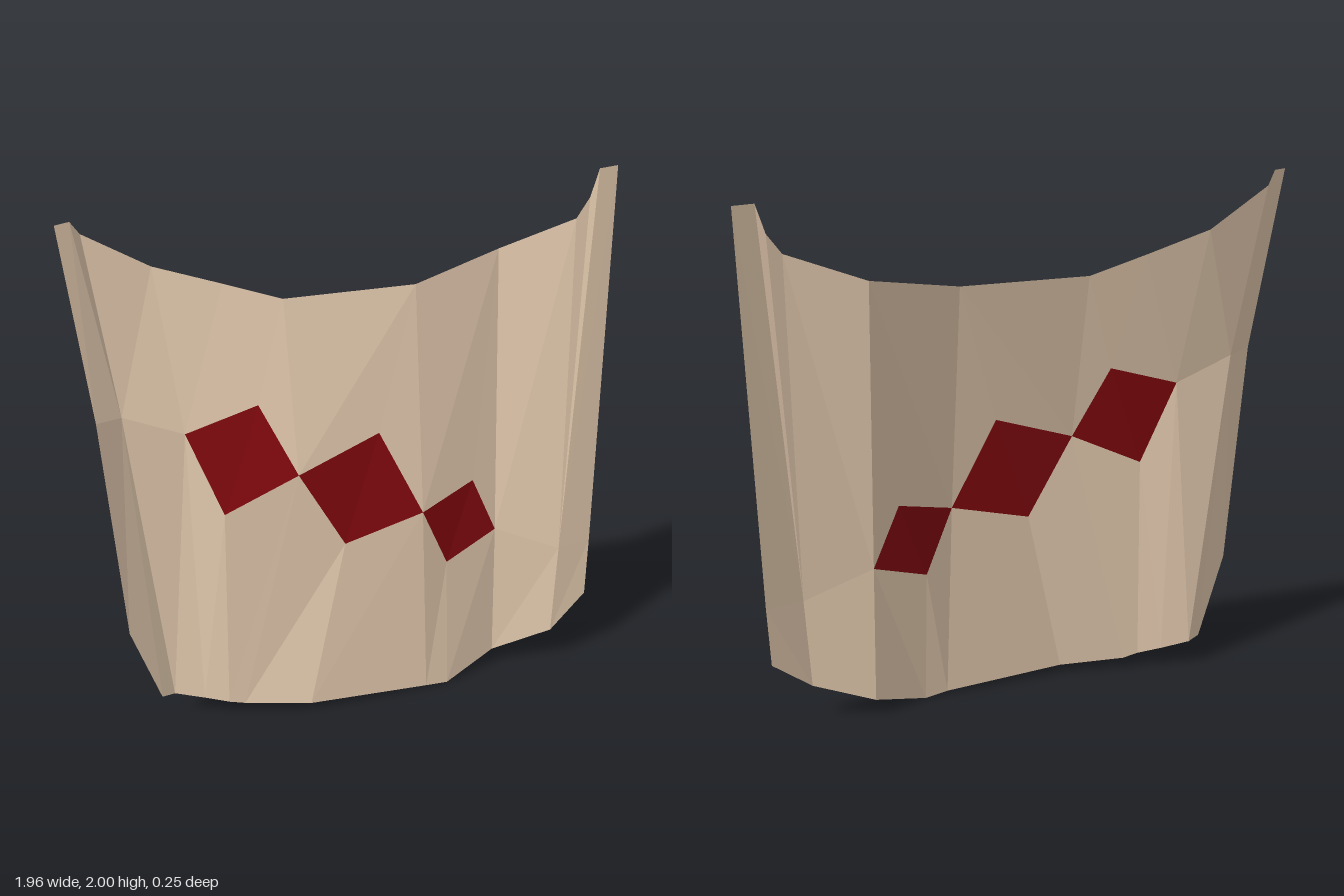
import * as THREE from 'three';

// Upright creases from -x to +x: [top edge, upper middle, lower middle, bottom edge].
// Where a crease has no diamond peak, the two middle points coincide.
function crease(top, upper, lower, bottom) {
  return [top, upper, lower, bottom].map((p) => new THREE.Vector3(...p));
}

function makeCreases() {
  const leftFold = [-0.83, 1.31, -0.01], leftHem = [-0.73, 0.11, 0.02];
  const d1 = [-0.62, 1.22, 0], d2 = [-0.235, 1.03, 0.065];
  const d3 = [0.23, 0.8, 0.07], d4 = [0.545, 0.63, 0];
  const rightFold = [0.8, 0.52, 0.04], rightHem = [0.78, 0.15, 0.07];
  const topMid = [0.22, 1.665, -0.05], topFold = [0.55, 1.73, -0.13];
  const edge = [0.94, 0.52, 0.01];
  return [
    crease([-0.98, 2, -0.055], [-0.92, 1.32, 0.03], [-0.88, 0.45, 0.055], [-0.78, 0.12, 0.04]),
    crease([-0.93, 2, -0.075], leftFold, leftFold, leftHem),
    crease([-0.9, 1.95, -0.09], leftFold, leftFold, leftHem),
    crease([-0.68, 1.81, -0.1], d1, d1, [-0.62, 0.085, 0.045]),
    crease([-0.45, 1.732, -0.077], [-0.36, 1.3, 0.005], [-0.505, 0.9, 0.05], [-0.53, 0.065, 0.07]),
    crease([-0.25, 1.665, -0.05], d2, d2, [-0.47, 0.05, 0.075]),
    crease(topMid, [0.07, 1.14, 0.03], [-0.07, 0.72, 0.08], [-0.22, 0.035, 0.125]),
    crease(topMid, d3, d3, [0.25, 0.01, 0.11]),
    crease(topFold, [0.445, 0.865, 0], [0.335, 0.55, 0.055], [0.34, 0, 0.1]),
    crease(topFold, d4, d4, [0.55, 0.07, 0.03]),
    crease([0.82, 1.83, -0.09], rightFold, rightFold, rightHem),
    crease([0.87, 1.9, -0.1], rightFold, rightFold, rightHem),
    crease([0.9, 2, -0.105], rightFold, rightFold, rightHem),
    crease([0.975, 2, -0.12], edge, edge, [0.93, 0.28, 0.035]),
  ];
}

// Adds the two triangles between neighbouring creases, skipping collapsed ones
function addQuad(out, a, b, row) {
  const tris = [[a[row], a[row + 1], b[row]], [b[row], a[row + 1], b[row + 1]]];
  for (const [p, q, r] of tris) {
    if (p.equals(q) || q.equals(r) || r.equals(p)) continue;
    for (const v of [p, q, r]) out.push(v.x, v.y, v.z);
  }
}

function addMesh(group, name, positions, color) {
  const geometry = new THREE.BufferGeometry();
  geometry.setAttribute('position', new THREE.Float32BufferAttribute(positions, 3));
  geometry.computeVertexNormals();
  const material = new THREE.MeshStandardMaterial({ color, flatShading: true, side: THREE.DoubleSide });
  const mesh = new THREE.Mesh(geometry, material);
  mesh.name = name;
  group.add(mesh);
}

export function createModel() {
  const group = new THREE.Group();
  group.name = 'hangingCloth';
  const creases = makeCreases();

  // Folded cloth sheet around the diamonds
  const cloth = [];
  for (let i = 0; i < creases.length - 1; i++) {
    for (const row of i === 0 ? [0, 1, 2] : [0, 2]) addQuad(cloth, creases[i], creases[i + 1], row);
  }
  addMesh(group, 'cloth', cloth, 0xf0d5b8);

  // Three diamonds joined corner to corner
  for (const [n, start] of [3, 5, 7].entries()) {
    const diamond = [];
    addQuad(diamond, creases[start], creases[start + 1], 1);
    addQuad(diamond, creases[start + 1], creases[start + 2], 1);
    addMesh(group, `diamond${n + 1}`, diamond, 0x8b0a10);
  }
  return group;
}
